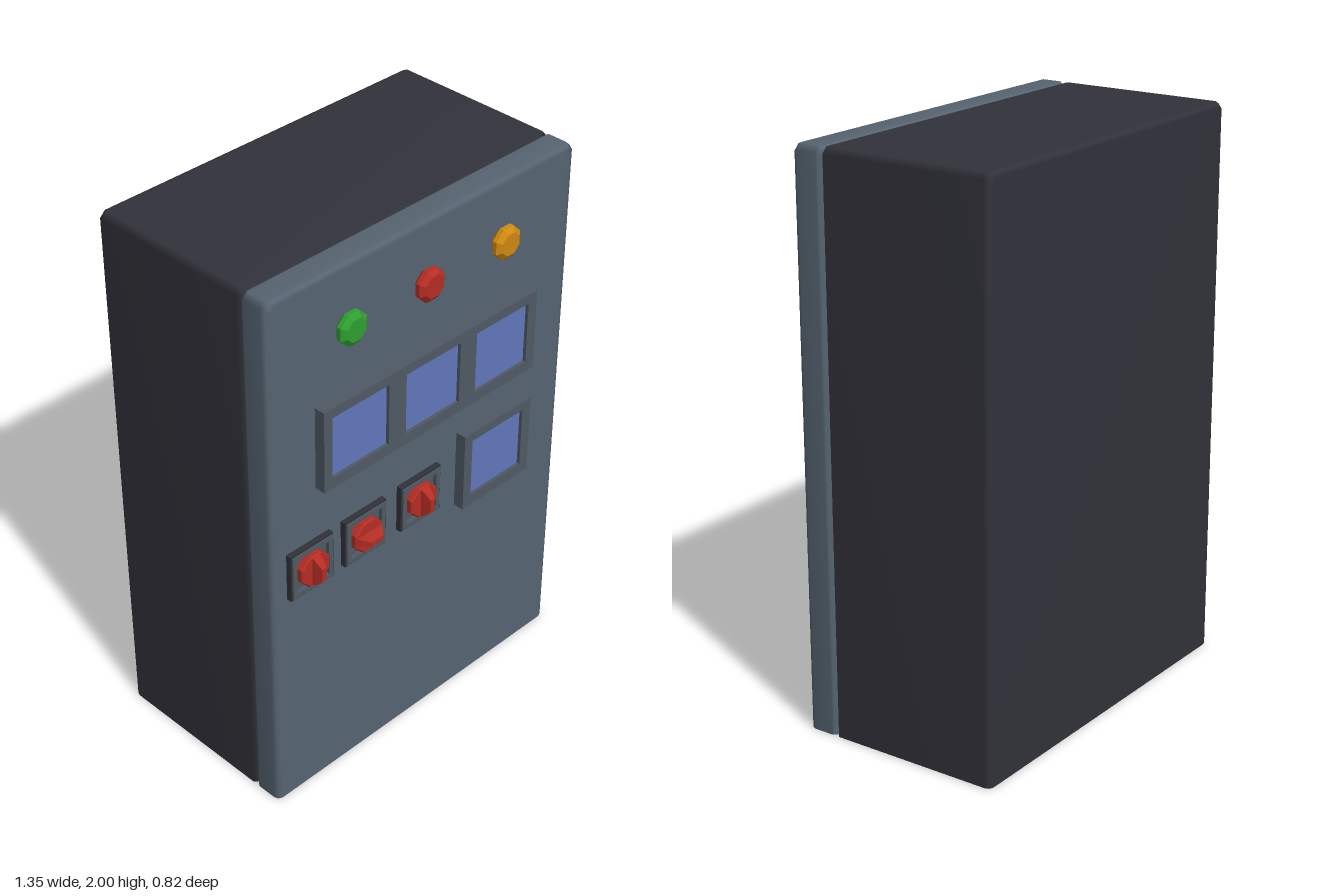
import * as THREE from 'three';

const mat = (name, color, side = THREE.FrontSide) => {
  const m = new THREE.MeshStandardMaterial({ color, side });
  m.name = name;
  return m;
};

// Skin a list of {z, pts} sections (counter-clockwise seen from +z, z rising).
function loft(sections, { closed = true, capBack = false, capFront = true, smooth = false } = {}) {
  const n = sections[0].pts.length;
  const pos = sections.flatMap(s => s.pts.flatMap(([x, y]) => [x, y, s.z]));
  const idx = [];
  for (let i = 0; i < sections.length - 1; i++) {
    for (let j = 0; j < (closed ? n : n - 1); j++) {
      const a = i * n + j, b = i * n + (j + 1) % n;
      idx.push(a, b, b + n, a, b + n, a + n);
    }
  }
  const last = (sections.length - 1) * n;
  for (let j = 1; j < n - 1; j++) {
    if (capBack) idx.push(0, j + 1, j);
    if (capFront) idx.push(last, last + j, last + j + 1);
  }
  let g = new THREE.BufferGeometry();
  g.setAttribute('position', new THREE.Float32BufferAttribute(pos, 3));
  g.setIndex(idx);
  if (!smooth) g = g.toNonIndexed();
  g.computeVertexNormals();
  return g;
}

// Cabinet outline: two sides and a top with clipped corners, open at the bottom
function shellSection(z, inset) {
  const x = 0.677 - inset, t = 2 - inset, c = 0.02;
  return { z, pts: [[x, 0], [x, t - c], [x - c, t], [c - x, t], [-x, t - c], [-x, 0]] };
}

const octagon = (z, r) => ({
  z,
  pts: Array.from({ length: 8 }, (_, i) => {
    const a = (i + 0.5) * Math.PI / 4;
    return [r * Math.cos(a), r * Math.sin(a)];
  }),
});

const rect = (z, hx, hy) => ({ z, pts: [[hx, -hy], [hx, hy], [-hx, hy], [-hx, -hy]] });

// Rectangular plate with rectangular openings; boxes are [x0, x1, y0, y1]
function framePlate([x0, x1, y0, y1], holes, depth) {
  const trace = (p, a, b, c, d) => p.moveTo(a, c).lineTo(b, c).lineTo(b, d).lineTo(a, d).closePath();
  const shape = trace(new THREE.Shape(), x0, x1, y0, y1);
  for (const h of holes) shape.holes.push(trace(new THREE.Path(), ...h));
  return new THREE.ExtrudeGeometry(shape, { depth, bevelEnabled: false });
}

export function createModel() {
  const root = new THREE.Group();
  root.name = 'controlCabinet';
  const steel = mat('doorSteel', 0x566471, THREE.DoubleSide);
  const dark = mat('bodyDark', 0x32323b, THREE.DoubleSide);
  const trim = mat('frameGrey', 0x505a64);
  const screen = mat('screenBlue', 0x6277bd);
  const red = mat('red', 0xb52d24);
  const green = mat('green', 0x2fa02f);
  const amber = mat('amber', 0xd0890f);
  const FRONT = 0.335;

  const add = (parent, name, geo, material, x = 0, y = 0, z = 0) => {
    const m = new THREE.Mesh(geo, material);
    m.name = name;
    m.position.set(x, y, z);
    parent.add(m);
    return m;
  };

  // Body shell and door shell, meeting in a shallow groove
  add(root, 'body', loft([
    shellSection(-0.41, 0.02), shellSection(-0.404, 0.006), shellSection(-0.39, 0),
    shellSection(0.212, 0), shellSection(0.224, 0.016),
  ], { closed: false, capBack: true, capFront: false, smooth: true }), dark);
  add(root, 'door', loft([
    shellSection(0.224, 0.016), shellSection(0.234, 0.004), shellSection(0.242, 0),
    shellSection(0.315, 0), shellSection(0.329, 0.006), shellSection(FRONT, 0.02),
  ], { closed: false, smooth: true }), steel);

  // Signal lamps
  const lampGeo = loft([octagon(0, 0.05), octagon(0.01, 0.06), octagon(0.026, 0.06), octagon(0.04, 0.042)]);
  [[-0.345, green], [-0.007, red], [0.342, amber]].forEach(([x, m]) =>
    add(root, 'signalLamp', lampGeo, m, x, 1.78, FRONT));

  // Display frames with recessed screens
  const columns = [[-0.45, -0.203], [-0.126, 0.121], [0.197, 0.445]];
  const displays = [
    { box: [-0.485, 0.485, 1.24, 1.545], windows: columns.map(c => [...c, 1.28, 1.51]) },
    { box: [0.16, 0.485, 0.813, 1.115], windows: [[...columns[2], 0.853, 1.082]] },
  ];
  for (const { box, windows } of displays) {
    add(root, 'displayFrame', framePlate(box, windows, 0.04), trim, 0, 0, FRONT);
    for (const [a, b, c, d] of windows) {
      add(root, 'screen', new THREE.BoxGeometry(b - a, d - c, 0.008), screen, (a + b) / 2, (c + d) / 2, FRONT + 0.024);
    }
  }

  // Rotary switches: dark edge, raised rim, octagonal dial and tapered grip
  const rimGeo = framePlate([-0.087, 0.087, -0.083, 0.083], [[-0.07, 0.07, -0.067, 0.067]], 0.025);
  const edgeGeo = framePlate([-0.093, 0.093, -0.09, 0.09], [[-0.087, 0.087, -0.083, 0.083]], 0.02);
  const dialGeo = loft([octagon(0, 0.065), octagon(0.033, 0.065), octagon(0.038, 0.06)]);
  const gripGeo = loft([rect(0.036, 0.017, 0.056), rect(0.05, 0.015, 0.048), rect(0.075, 0.009, 0.026)]);
  [[-0.523, 0], [-0.284, Math.PI / 2], [-0.028, 0]].forEach(([x, turn]) => {
    const s = new THREE.Group();
    s.name = 'rotarySwitch';
    s.position.set(x, 0.955, FRONT);
    add(s, 'switchEdge', edgeGeo, dark);
    add(s, 'switchRim', rimGeo, trim);
    add(s, 'switchPlate', new THREE.BoxGeometry(0.14, 0.134, 0.008), trim, 0, 0, 0.006);
    add(s, 'dial', dialGeo, red);
    add(s, 'grip', gripGeo, red).rotation.z = turn;
    root.add(s);
  });

  return root;
}
